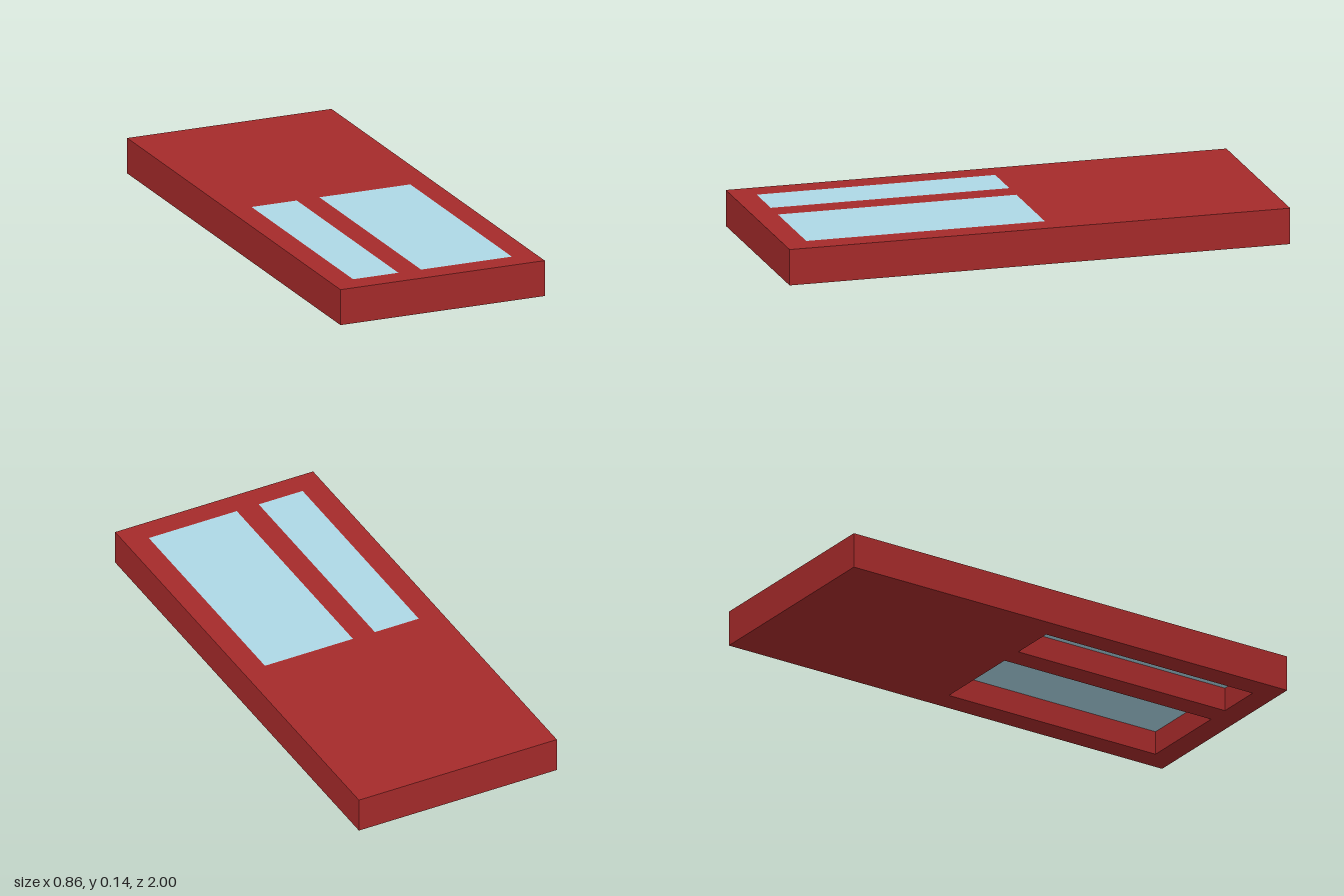
import * as THREE from 'three';

const W = 0.857, L = 2, H = 0.143, GLASS = 0.048;
const Z0 = -0.048, Z1 = 0.905;
const panes = [
  { name: 'narrowPane', x0: -0.333, x1: -0.143 },
  { name: 'widePane', x0: -0.048, x1: 0.333 },
];

// Closed rectangle used for the slab outline and its openings
function rect(Type, x0, x1, z0, z1) {
  return new Type([[x0, z0], [x1, z0], [x1, z1], [x0, z1]].map(([x, z]) => new THREE.Vector2(x, z)));
}

export function createModel() {
  const group = new THREE.Group();
  const red = new THREE.MeshStandardMaterial({ color: 0xa52a2a });
  const blue = new THREE.MeshStandardMaterial({ color: 0xadd8e6 });

  // Slab with two through openings, laid flat
  const outline = rect(THREE.Shape, -W / 2, W / 2, -L / 2, L / 2);
  for (const p of panes) outline.holes.push(rect(THREE.Path, p.x0, p.x1, Z0, Z1));
  const slabGeometry = new THREE.ExtrudeGeometry(outline, { depth: H, bevelEnabled: false });
  slabGeometry.rotateX(Math.PI / 2).translate(0, H, 0);
  const slab = new THREE.Mesh(slabGeometry, red);
  slab.name = 'slab';
  group.add(slab);

  // Glass panes flush with the top, leaving recesses underneath
  for (const p of panes) {
    const pane = new THREE.Mesh(new THREE.BoxGeometry(p.x1 - p.x0, GLASS, Z1 - Z0), blue);
    pane.position.set((p.x0 + p.x1) / 2, H - GLASS / 2, (Z0 + Z1) / 2);
    pane.name = p.name;
    group.add(pane);
  }
  return group;
}
